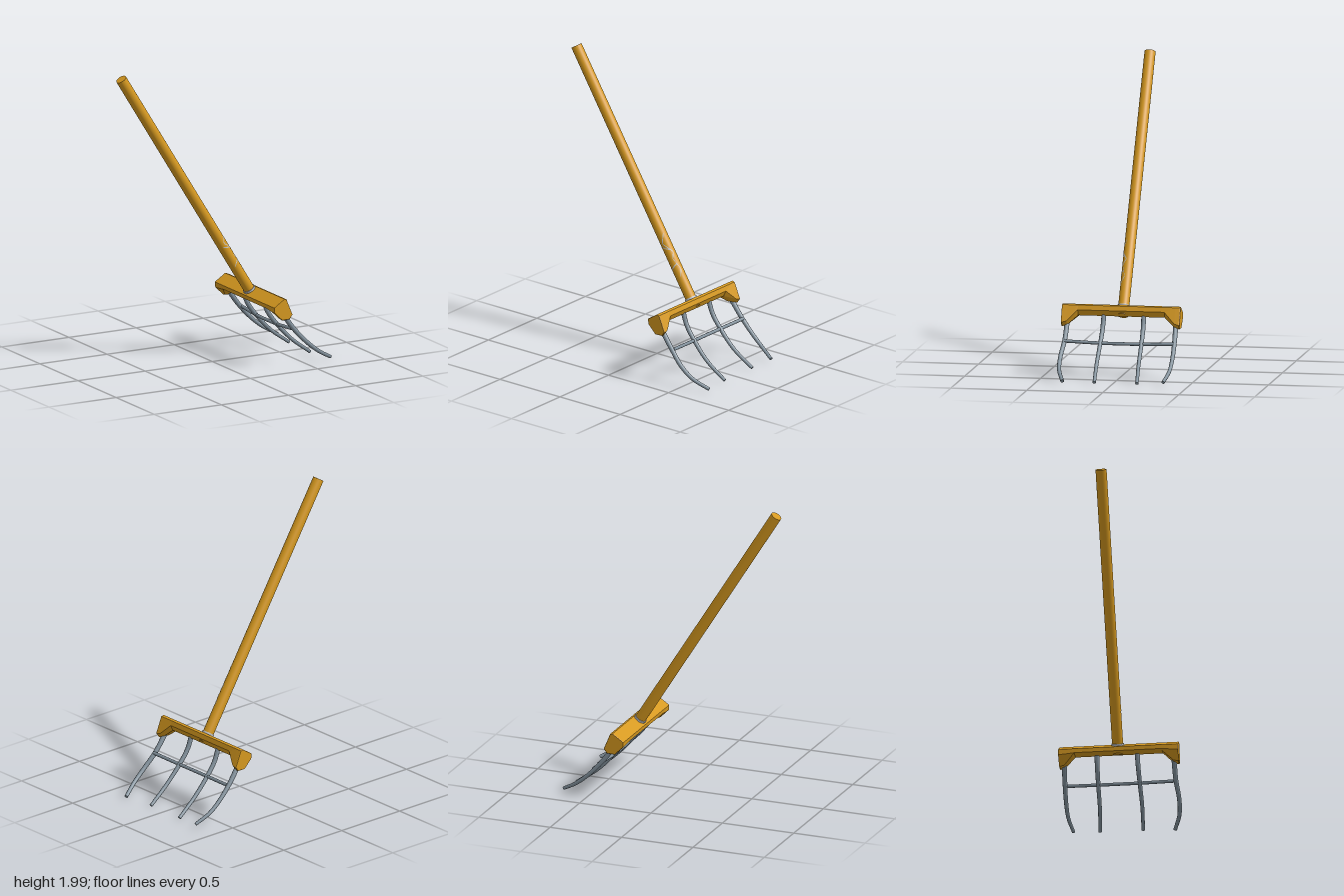
import * as THREE from 'three';

const gold = new THREE.MeshStandardMaterial({ color: 0xd6991f });
gold.name = 'golden wood';
const steel = new THREE.MeshStandardMaterial({ color: 0x82919c });
steel.name = 'grey steel';
const pale = new THREE.MeshStandardMaterial({ color: 0xc4c4c4, side: THREE.DoubleSide });
pale.name = 'pale metal';

const V = (x, y, z) => new THREE.Vector3(x, y, z);

// Handle axis: starts at the top end, runs down to the head
const TOP = V(-0.675, 1.982, -0.006);
const DOWN = V(0.53, -0.848, 0).normalize();
const OUT = V(-DOWN.y, DOWN.x, 0); // faces +x and up
const R = 0.036;

function add(group, name, geometry, material) {
  const mesh = new THREE.Mesh(geometry, material);
  mesh.name = name;
  group.add(mesh);
  return mesh;
}

// Point near the shaft: distance along it, angle from OUT towards +z, radius
function shaftPoint(u, angle, r) {
  return TOP.clone().addScaledVector(DOWN, u)
    .addScaledVector(OUT, r * Math.cos(angle))
    .add(V(0, 0, r * Math.sin(angle)));
}

// Cylinder whose axis lies on the shaft between two distances
function shaftCylinder(group, name, u0, u1, r, material) {
  const mesh = add(group, name, new THREE.CylinderGeometry(r, r, u1 - u0, 28), material);
  mesh.position.copy(TOP).addScaledVector(DOWN, (u0 + u1) / 2);
  mesh.quaternion.setFromUnitVectors(V(0, 1, 0), DOWN);
}

// Round rod along a curve, narrowing to its far end, with flat caps
function rod(group, name, points, r0, r1) {
  const curve = new THREE.CatmullRomCurve3(points);
  const rings = 24, sides = 10;
  const geometry = new THREE.TubeGeometry(curve, rings, r0, sides);
  const pos = geometry.attributes.position, p = V(0, 0, 0);
  for (let i = 0; i <= rings; i++) {
    const c = curve.getPointAt(i / rings);
    const k = THREE.MathUtils.lerp(1, r1 / r0, i / rings);
    for (let j = 0; j <= sides; j++) {
      const n = i * (sides + 1) + j;
      p.fromBufferAttribute(pos, n).sub(c).multiplyScalar(k).add(c);
      pos.setXYZ(n, p.x, p.y, p.z);
    }
  }
  const part = new THREE.Group();
  part.name = name;
  add(part, name + 'Shaft', geometry, steel);
  for (const t of [0, 1]) {
    const cap = add(part, name + 'Cap', new THREE.CircleGeometry(t ? r1 : r0, sides), steel);
    cap.position.copy(curve.getPointAt(t));
    cap.quaternion.setFromUnitVectors(V(0, 0, 1), curve.getTangentAt(t).multiplyScalar(t ? 1 : -1));
  }
  group.add(part);
}

// Faceted crossbeam lofted along z, deeper at both ends
function headGeometry() {
  const middle = [[0.238, 0.425], [0.315, 0.475], [0.333, 0.47], [0.343, 0.44], [0.325, 0.402], [0.265, 0.394], [0.241, 0.398]];
  const end = [[0.238, 0.425], [0.315, 0.475], [0.333, 0.47], [0.378, 0.362], [0.356, 0.333], [0.3, 0.332], [0.241, 0.39]];
  const blend = (k) => middle.map(([x, y], i) => [x + (end[i][0] - x) * k, y + (end[i][1] - y) * k]);
  const shrink = (loop) => loop.map(([x, y]) => [0.3 + (x - 0.3) * 0.96, 0.41 + (y - 0.41) * 0.96]);
  const stations = [
    [-0.39, shrink(blend(1))], [-0.385, blend(1)], [-0.355, blend(0.9)], [-0.285, blend(0)],
    [0.285, blend(0)], [0.355, blend(0.9)], [0.385, blend(1)], [0.39, shrink(blend(1))],
  ];
  const out = [];
  const put = (s, i) => out.push(...stations[s][1][i % 7], stations[s][0]);
  for (let s = 0; s < stations.length - 1; s++) {
    for (let i = 0; i < 7; i++) {
      put(s, i); put(s + 1, i + 1); put(s, i + 1);
      put(s, i); put(s + 1, i); put(s + 1, i + 1);
    }
  }
  // End faces, loops run clockwise seen from +z
  const last = stations.length - 1;
  for (let i = 1; i < 6; i++) {
    put(0, 0); put(0, i); put(0, i + 1);
    put(last, 0); put(last, i + 1); put(last, i);
  }
  const g = new THREE.BufferGeometry();
  g.setAttribute('position', new THREE.Float32BufferAttribute(out, 3));
  g.computeVertexNormals();
  return g;
}

// Thin zigzag strip wrapped on the shaft: path of [distance, degrees]
function stripGeometry(path, width) {
  const pos = [], index = [], steps = 5;
  for (let s = 0; s < path.length - 1; s++) {
    for (let i = 0; i <= steps; i++) {
      const u = THREE.MathUtils.lerp(path[s][0], path[s + 1][0], i / steps);
      const a = THREE.MathUtils.degToRad(THREE.MathUtils.lerp(path[s][1], path[s + 1][1], i / steps));
      const n = pos.length / 3;
      for (const side of [-1, 1]) pos.push(...shaftPoint(u + side * width / 2, a, R + 0.0012).toArray());
      if (i < steps) index.push(n, n + 1, n + 2, n + 1, n + 3, n + 2);
    }
  }
  const g = new THREE.BufferGeometry();
  g.setAttribute('position', new THREE.Float32BufferAttribute(pos, 3));
  g.setIndex(index);
  g.computeVertexNormals();
  return g;
}

export function createModel() {
  const model = new THREE.Group();
  model.name = 'gardenFork';

  // Handle, ferrule and crossbeam
  shaftCylinder(model, 'handle', 0, 1.86, R, gold);
  shaftCylinder(model, 'ferrule', 1.79, 1.803, R + 0.005, pale);
  add(model, 'crossbeam', headGeometry(), gold);

  // Worn zigzag marks on the handle
  add(model, 'wornMark', stripGeometry([[1.34, 30], [1.4, 85], [1.475, 12], [1.515, 50], [1.595, 12], [1.64, 50]], 0.011), pale);
  add(model, 'wornBranch', stripGeometry([[1.42, 110], [1.44, 70], [1.455, 30]], 0.008), pale);
  add(model, 'wornBranch', stripGeometry([[1.555, 35], [1.57, 85], [1.585, 110]], 0.008), pale);

  // Outer tines
  rod(model, 'leftOuterTine', [V(0.32, 0.37, 0.356), V(0.41, 0.25, 0.358), V(0.5, 0.155, 0.37), V(0.59, 0.085, 0.362), V(0.695, 0.027, 0.322)], 0.017, 0.012);
  rod(model, 'rightOuterTine', [V(0.32, 0.37, -0.358), V(0.41, 0.25, -0.364), V(0.5, 0.155, -0.366), V(0.58, 0.09, -0.361), V(0.677, 0.034, -0.338)], 0.017, 0.011);

  // Inner tines
  rod(model, 'leftInnerTine', [V(0.31, 0.42, 0.117), V(0.345, 0.325, 0.12), V(0.42, 0.225, 0.124), V(0.52, 0.122, 0.127), V(0.66, 0.018, 0.118)], 0.016, 0.011);
  rod(model, 'rightInnerTine', [V(0.31, 0.42, -0.145), V(0.345, 0.325, -0.146), V(0.42, 0.225, -0.147), V(0.52, 0.122, -0.149), V(0.662, 0.02, -0.163)], 0.016, 0.011);

  // Brace joining the tines
  rod(model, 'brace', [V(0.424, 0.245, -0.36), V(0.41, 0.237, -0.147), V(0.408, 0.236, 0), V(0.41, 0.237, 0.124), V(0.424, 0.247, 0.356)], 0.011, 0.011);

  return model;
}
